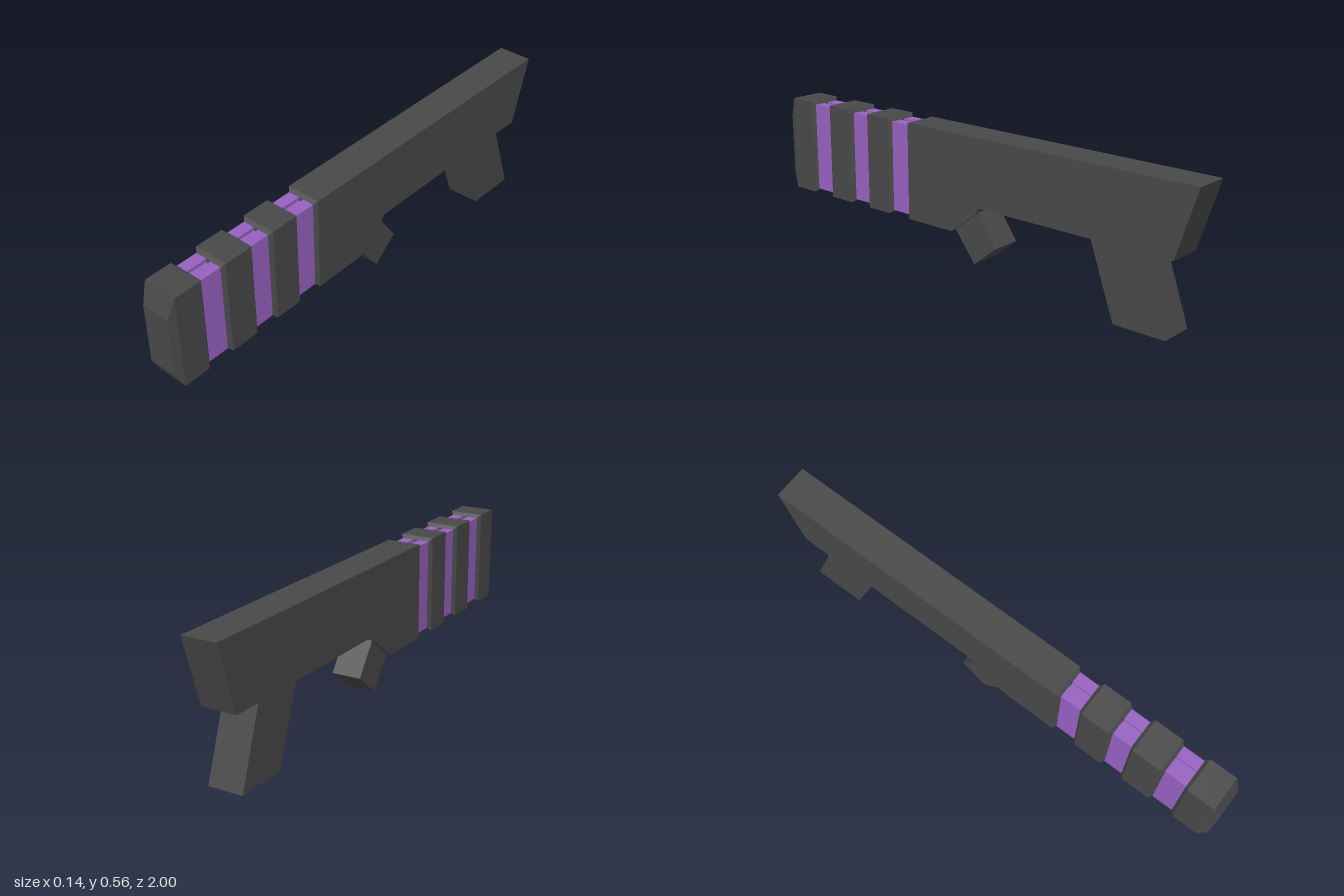
import * as THREE from 'three';

const TOP = 0.56, BOTTOM = 0.17, HALF = 0.07, INSET = 0.013;

const charcoal = new THREE.MeshStandardMaterial({ color: 0x484848 });
charcoal.name = 'charcoal';
const purple = new THREE.MeshStandardMaterial({ color: 0x9660c0 });
purple.name = 'purple';

function mesh(name, geometry, material) {
  const m = new THREE.Mesh(geometry, material);
  m.name = name;
  return m;
}

// Side profile given as [z, y] points, extruded across x
function sideExtrude(points, halfWidth) {
  const shape = new THREE.Shape(points.map(p => new THREE.Vector2(p[0], p[1])));
  const g = new THREE.ExtrudeGeometry(shape, { depth: halfWidth * 2, bevelEnabled: false });
  g.translate(0, 0, -halfWidth);
  g.rotateY(-Math.PI / 2);
  return g;
}

// Rectangular sections [z, halfWidth, bottom, top], back to front, joined and capped
function loft(sections) {
  const pos = [], index = [];
  for (const [z, w, b, t] of sections) pos.push(-w, b, z, w, b, z, w, t, z, -w, t, z);
  const quad = (a, b, c, d) => index.push(a, b, c, a, c, d);
  for (let i = 0; i < sections.length - 1; i++) {
    for (let j = 0; j < 4; j++) {
      const a = i * 4 + j, b = i * 4 + (j + 1) % 4;
      quad(a, b, b + 4, a + 4);
    }
  }
  const last = (sections.length - 1) * 4;
  quad(3, 2, 1, 0);
  quad(last, last + 1, last + 2, last + 3);
  const indexed = new THREE.BufferGeometry();
  indexed.setAttribute('position', new THREE.Float32BufferAttribute(pos, 3));
  indexed.setIndex(index);
  const g = indexed.toNonIndexed();
  g.computeVertexNormals();
  return g;
}

const full = z => [z, HALF, BOTTOM, TOP];
const inset = z => [z, HALF - INSET, BOTTOM + INSET, TOP - INSET];

export function createModel() {
  const model = new THREE.Group();
  model.name = 'blaster';

  // Body with slanted rear end and raked rear grip
  model.add(mesh('body', sideExtrude([
    [0.3, TOP], [-1, TOP], [-0.915, 0.29], [-0.798, 0.29], [-0.9, 0], [-0.685, 0],
    [-0.58, 0.29], [-0.065, 0.29], [-0.05, 0.265], [0.055, 0.182], [0.075, BOTTOM], [0.3, BOTTOM],
  ], HALF), charcoal));
  model.add(mesh('bodyFrontBevel', loft([full(0.3), inset(0.313)]), charcoal));

  // Tilted foregrip block
  model.add(mesh('foregrip', sideExtrude([
    [0.06, 0.18], [-0.05, 0.272], [-0.142, 0.145], [-0.035, 0.058],
  ], 0.06), charcoal));

  // Barrel blocks with bevelled ends
  for (const [back, front] of [[0.41, 0.525], [0.63, 0.747]]) {
    model.add(mesh('barrelBlock', loft([
      inset(back - 0.013), full(back), full(front), inset(front + 0.013),
    ]), charcoal));
  }

  // Tapered muzzle block
  model.add(mesh('muzzleBlock', loft([
    inset(0.847), full(0.86), full(0.97), [1, 0.058, 0.232, 0.478],
  ]), charcoal));

  // Purple bands, slotted along the middle of the top and bottom
  const w = HALF - INSET, t = TOP - INSET, b = BOTTOM + INSET, s = 0.01, d = 0.014;
  const band = new THREE.Shape([
    [-w, b], [-s, b], [-s, b + d], [s, b + d], [s, b], [w, b],
    [w, t], [s, t], [s, t - d], [-s, t - d], [-s, t], [-w, t],
  ].map(p => new THREE.Vector2(p[0], p[1])));
  for (const [back, front] of [[0.313, 0.397], [0.538, 0.617], [0.76, 0.847]]) {
    const g = new THREE.ExtrudeGeometry(band, { depth: front - back, bevelEnabled: false });
    g.translate(0, 0, back);
    model.add(mesh('glowBand', g, purple));
  }
  return model;
}
